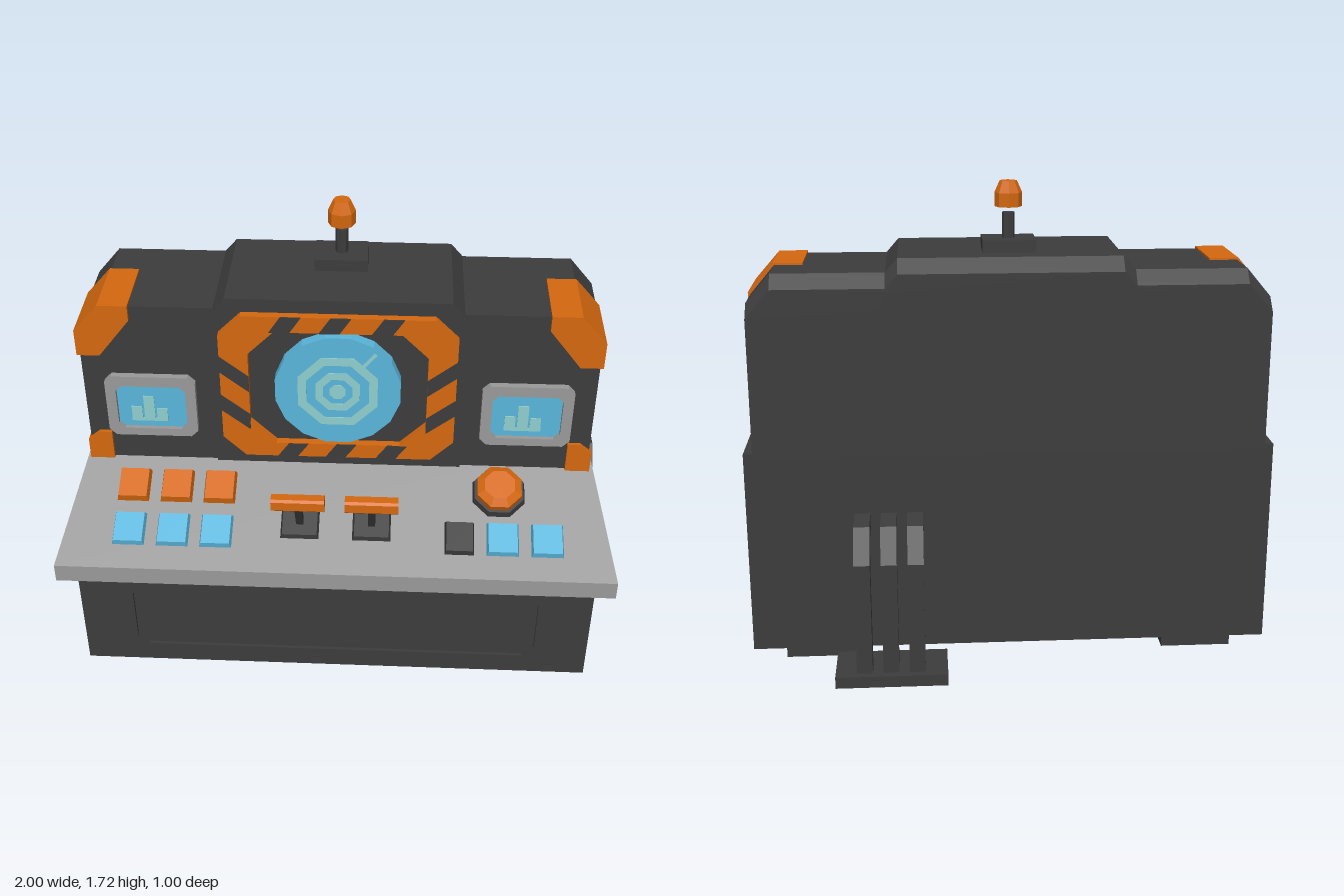
import * as THREE from 'three';

const mat = (name, color) => {
  const m = new THREE.MeshStandardMaterial({ color });
  m.name = name;
  return m;
};

export function createModel() {
  const dark = mat('charcoal', 0x3c3c3c);
  const grey = mat('grey', 0x999999);
  const orange = mat('orange', 0xd4680f);
  const blue = mat('screen blue', 0x5ab6dc);
  const pale = mat('pale cyan', 0x8fcfcf);

  const model = new THREE.Group();
  model.name = 'controlConsole';

  const add = (name, geo, material, parent = model) => {
    const mesh = new THREE.Mesh(geo, material);
    mesh.name = name;
    parent.add(mesh);
    return mesh;
  };
  const box = (w, h, d, x, y, z) => new THREE.BoxGeometry(w, h, d).translate(x, y, z);
  const flat = (geo) => {
    const g = geo.toNonIndexed();
    g.computeVertexNormals();
    return g;
  };
  const shapeOf = (pts, hole) => {
    const s = new THREE.Shape(pts.map(p => new THREE.Vector2(...p)));
    if (hole) s.holes.push(new THREE.Path(hole.map(p => new THREE.Vector2(...p))));
    return s;
  };
  // Outline in x/y, extruded from z0 to z1
  const plate = (pts, z0, z1, hole, steps = 1) => new THREE.ExtrudeGeometry(
    shapeOf(pts, hole), { depth: z1 - z0, bevelEnabled: false, steps }).translate(0, 0, z0);
  // Outline in z/y, extruded across x and centred on cx
  const across = (pts, width, cx, hole) => new THREE.ExtrudeGeometry(
    shapeOf(pts, hole), { depth: width, bevelEnabled: false })
    .translate(0, 0, -width / 2).rotateY(-Math.PI / 2).translate(cx, 0, 0);
  const rect = (x0, x1, y0, y1) => [[x0, y0], [x1, y0], [x1, y1], [x0, y1]];
  // Rectangle with cut corners
  const octo = (x0, x1, y0, y1, c) => [[x0 + c, y0], [x1 - c, y0], [x1, y0 + c], [x1, y1 - c],
    [x1 - c, y1], [x0 + c, y1], [x0, y1 - c], [x0, y0 + c]];
  const ngon = (r, n, cy) => Array.from({ length: n }, (_, i) => {
    const a = (i + 0.5) / n * Math.PI * 2;
    return [r * Math.cos(a), cy + r * Math.sin(a)];
  });
  const mirror = (pts, s) => pts.map(([x, y]) => [x * s, y]);

  // Lower cabinet with recessed front and side panels
  const profile = (zf) => [[-0.285, 0.055], [zf, 0.055], [zf, 0.46], [0.18, 0.63], [0, 0.8], [-0.285, 0.8]];
  add('baseCore', across(profile(0.438), 1.846, 0), dark);
  for (const s of [-1, 1]) {
    add('baseSide', across(profile(0.45), 0.012, s * 0.929, rect(-0.1, 0.285, 0.135, 0.43)), dark);
  }
  add('baseFront', plate(rect(-0.923, 0.923, 0.055, 0.46), 0.438, 0.45,
    octo(-0.74, 0.74, 0.135, 0.43, 0.04)), dark);
  for (const x of [-0.693, 0.693]) {
    for (const z of [0.305, -0.157]) add('foot', box(0.256, 0.055, 0.178, x, 0.0275, z), dark);
  }

  // Sloping desk, flared towards the front
  const desk = across([[0, 0.8], [0.5, 0.56], [0.5, 0.49], [0.455, 0.467], [0, 0.7]], 2, 0);
  const dp = desk.attributes.position;
  for (let i = 0; i < dp.count; i++) dp.setX(i, Math.sign(dp.getX(i)) * (0.915 + 0.17 * dp.getZ(i)));
  desk.computeVertexNormals();
  add('desk', desk, grey);

  // Upper cabinet blocks with the top rear edge chamfered
  const block = (pts, z0, z1) => {
    const g = plate(pts, z0, z1, null, 2);
    const p = g.attributes.position;
    const mid = (z0 + z1) / 2;
    for (let i = 0; i < p.count; i++) {
      if (Math.abs(p.getZ(i) - mid) < 0.01) p.setZ(i, z0 + 0.047);
      else if (p.getZ(i) < mid && p.getY(i) > 1) p.setY(i, p.getY(i) - 0.047);
    }
    g.computeVertexNormals();
    return g;
  };
  add('upperCabinet', block([[-0.9, 0.79], [0.9, 0.79], [0.9, 1.33], [0.815, 1.43],
    [-0.815, 1.43], [-0.9, 1.33]], -0.305, 0.142), dark);
  add('centreBlock', block([[-0.44, 0.792], [0.44, 0.792], [0.44, 1.415], [0.385, 1.478],
    [-0.385, 1.478], [-0.44, 1.415]], -0.307, 0.156), dark);

  for (const s of [-1, 1]) {
    // Orange corner guards
    add('upperCorner', plate(mirror([[0.91, 1.235], [0.91, 1.335], [0.82, 1.437], [0.716, 1.437],
      [0.716, 1.38], [0.83, 1.235]], s), -0.1, 0.155), orange);
    add('lowerCorner', plate(mirror([[0.908, 0.788], [0.908, 0.87], [0.865, 0.905], [0.82, 0.905],
      [0.82, 0.788]], s), 0, 0.155), orange);
    // Side vents
    for (const y of [1.0, 1.065, 1.13]) add('vent', box(0.01, 0.018, 0.15, s * 0.9, y, -0.12), dark);
    // Small screens with bar charts
    const cx = s * 0.663;
    add('sideScreenFrame', plate(octo(cx - 0.16, cx + 0.16, 0.904, 1.156, 0.025), 0.14, 0.166,
      octo(cx - 0.123, cx + 0.123, 0.935, 1.115, 0.02)), grey);
    add('sideScreen', plate(octo(cx - 0.125, cx + 0.125, 0.933, 1.117, 0.02), 0.142, 0.15), blue);
    [0.058, 0.103, 0.052].forEach((h, i) =>
      add('chartBar', box(0.038, h, 0.004, cx - 0.011 + (i - 1) * 0.045, 0.963 + h / 2, 0.152), pale));
    add('chartBase', box(0.13, 0.012, 0.004, cx - 0.011, 0.966, 0.152), pale);
  }

  // Main screen frame with hazard stripes
  add('mainFrame', plate(octo(-0.41, 0.41, 0.843, 1.428, 0.08), 0.155, 0.185,
    octo(-0.31, 0.31, 0.9, 1.367, 0.09)), orange);
  const stripe = (pts) => add('hazardStripe', plate(pts, 0.183, 0.188), dark);
  for (const x of [-0.2, -0.03, 0.15]) {
    stripe([[x - 0.035, 1.367], [x + 0.035, 1.367], [x + 0.075, 1.428], [x + 0.005, 1.428]]);
    stripe([[x - 0.015, 0.843], [x + 0.055, 0.843], [x + 0.095, 0.9], [x + 0.025, 0.9]]);
  }
  for (const s of [-1, 1]) {
    for (const y of [1.23, 1.07]) {
      stripe(mirror([[0.41, y - 0.03], [0.41, y + 0.035], [0.31, y - 0.045], [0.31, y - 0.11]], s));
    }
  }

  // Round radar display
  const cy = 1.14;
  add('radarScreen', plate(ngon(0.222, 16, cy), 0.155, 0.198), blue);
  add('radarRing', plate(ngon(0.15, 8, cy), 0.197, 0.202, ngon(0.118, 8, cy)), pale);
  add('radarRing', plate(ngon(0.083, 8, cy), 0.197, 0.202, ngon(0.055, 8, cy)), pale);
  add('radarDot', plate(ngon(0.03, 8, cy), 0.197, 0.202), pale);
  add('radarSweep', box(0.07, 0.012, 0.005, 0.17, 0, 0).rotateZ(0.88).translate(0, cy, 0.1995), pale);

  // Beacon on the roof
  add('beaconBase', box(0.185, 0.045, 0.14, 0, 1.499, -0.115), dark);
  add('beaconStem', flat(new THREE.CylinderGeometry(0.022, 0.022, 0.1, 8).translate(0, 1.56, -0.115)), dark);
  add('beaconLamp', flat(new THREE.LatheGeometry([[0, 1.63], [0.048, 1.63], [0.048, 1.678], [0.03, 1.718], [0, 1.718]]
    .map(p => new THREE.Vector2(...p)), 8).translate(0, 0, -0.115)), orange);

  // Controls, laid out on the slope: local y is the desk normal, local z runs down it
  const tilt = Math.atan2(0.24, 0.5);
  const controls = new THREE.Group();
  controls.name = 'deskControls';
  controls.position.set(0, 0.8, 0);
  controls.rotation.x = tilt;
  model.add(controls);
  const down = (z) => z / Math.cos(tilt);
  const key = (name, x, z, w, d, h, material) => {
    const g = box(w, h + 0.01, d, 0, (h - 0.01) / 2, 0).toNonIndexed();
    const p = g.attributes.position;
    for (let i = 0; i < p.count; i++) {
      if (p.getY(i) > 0) p.setXYZ(i, p.getX(i) * 0.86, p.getY(i), p.getZ(i) * 0.86);
    }
    g.computeVertexNormals();
    return add(name, g.translate(x, 0, down(z)), material, controls);
  };
  for (const x of [-0.745, -0.587, -0.43]) {
    key('orangeButton', x, 0.205, 0.12, 0.13, 0.028, orange);
    key('blueButton', x, 0.362, 0.12, 0.13, 0.022, blue);
  }
  key('darkButton', 0.443, 0.362, 0.11, 0.13, 0.022, dark);
  for (const x of [0.598, 0.757]) key('blueButton', x, 0.362, 0.12, 0.13, 0.022, blue);

  // Large push knob
  const knob = (name, r0, r1, y0, y1, material) => add(name, flat(new THREE.CylinderGeometry(
    r1, r0, y1 - y0, 8).rotateY(Math.PI / 8).translate(0.585, (y0 + y1) / 2, down(0.195))), material, controls);
  knob('knobCollar', 0.105, 0.095, -0.01, 0.025, dark);
  knob('knobBody', 0.086, 0.086, 0.02, 0.052, orange);
  knob('knobCap', 0.086, 0.058, 0.052, 0.073, orange);

  // Two throttle levers
  for (const x of [-0.13, 0.128]) {
    key('leverBase', x, 0.308, 0.145, 0.165, 0.018, dark);
    add('leverStem', across([[0.31, 0.65], [0.335, 0.64], [0.415, 0.79], [0.395, 0.8]], 0.026, x), dark);
    add('leverGrip', across(octo(0.382, 0.43, 0.782, 0.832, 0.008), 0.187, x), orange);
  }

  // Rear pipes and their floor plate
  add('pipePlate', box(0.396, 0.042, 0.198, 0.433, 0.021, -0.4), dark);
  const pipe = [[-0.27, 0.515], [-0.365, 0.51], [-0.415, 0.43], [-0.415, 0.03], [-0.472, 0.03],
    [-0.472, 0.45], [-0.4, 0.565], [-0.27, 0.573]];
  for (const x of [0.342, 0.435, 0.528]) add('rearPipe', across(pipe, 0.056, x), dark);

  return model;
}
